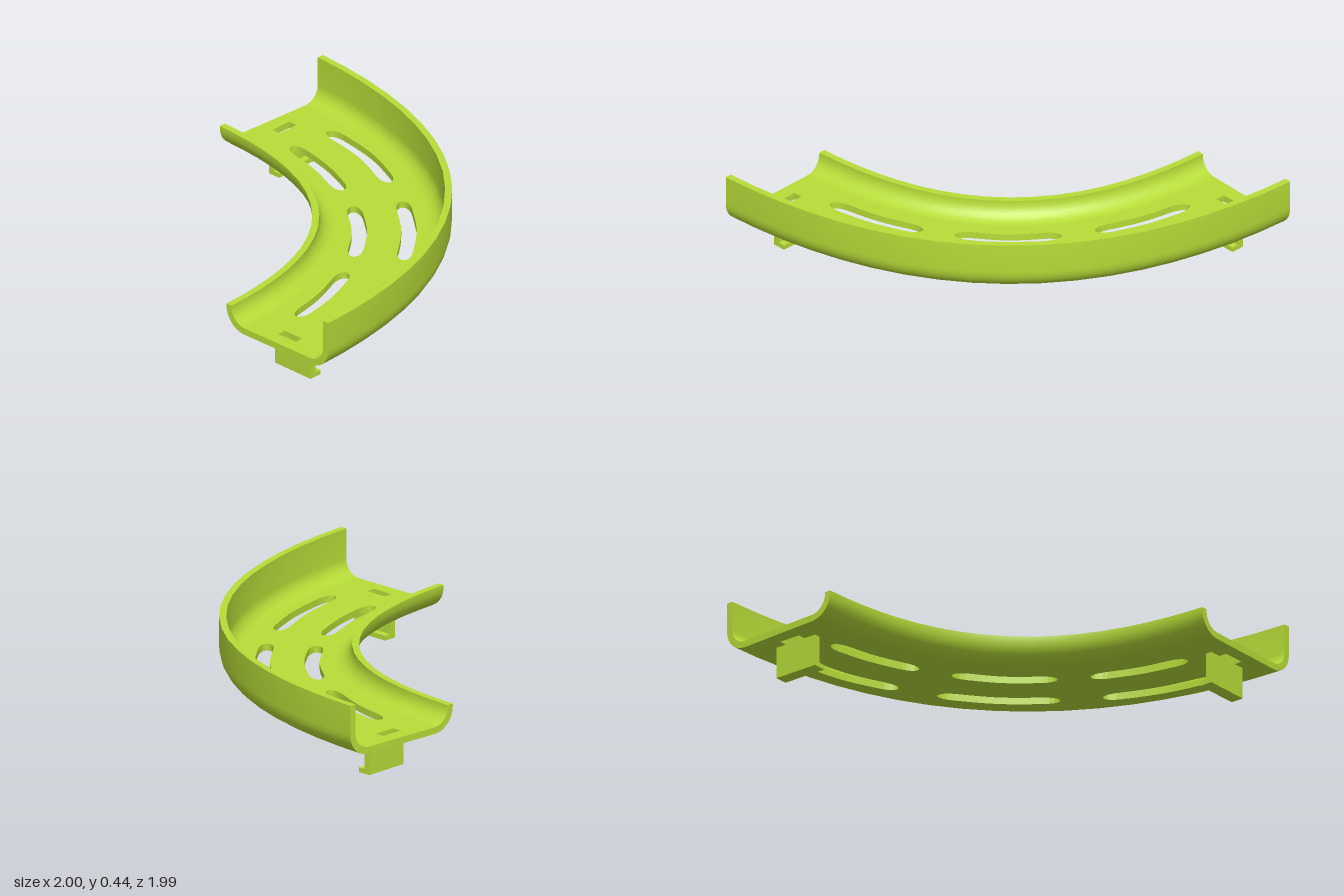
import * as THREE from 'three';
import { toCreasedNormals } from 'three/addons/utils/BufferGeometryUtils.js';

const SEGMENTS = 18;
const CX = -1.03, CZ = 1.03;        // centre of the bend
const R_IN = 1.34, R_OUT = 2.03;    // inner and outer wall radii at the ends
const BULGE = 0.072;                // extra radius at the middle of the bend
const FLOOR_BOTTOM = 0.165, FLOOR_TOP = 0.2;

// Point (x, z) on the bend at radius r, t from 0 (front end) to 1 (left end)
function bend(r, t) {
  const k = (r - R_IN) / (R_OUT - R_IN);
  const a0 = THREE.MathUtils.lerp(1.7, 1.4, k);
  const a1 = THREE.MathUtils.lerp(88.7, 88, k);
  const a = THREE.MathUtils.degToRad(THREE.MathUtils.lerp(a0, a1, t));
  const radius = r + BULGE * Math.sin(Math.PI * t) ** 2;
  return new THREE.Vector2(CX + radius * Math.cos(a), CZ - radius * Math.sin(a));
}

// Rounded side rail section: floor edge, bottom curve, wall, inside curve
function railProfile(centreR, side, top) {
  const pts = [new THREE.Vector2(centreR - side * 0.005, FLOOR_BOTTOM)];
  const cy = 0.285, n = 7;
  for (let i = 0; i <= n; i++) {
    const a = (i / n) * Math.PI / 2;
    pts.push(new THREE.Vector2(centreR + side * 0.12 * Math.sin(a), cy - 0.12 * Math.cos(a)));
  }
  pts.push(new THREE.Vector2(centreR + side * 0.12, top));
  pts.push(new THREE.Vector2(centreR + side * 0.085, top));
  for (let i = n; i >= 0; i--) {
    const a = (i / n) * Math.PI / 2;
    pts.push(new THREE.Vector2(centreR + side * 0.085 * Math.sin(a), cy - 0.085 * Math.cos(a)));
  }
  pts.push(new THREE.Vector2(centreR - side * 0.005, FLOOR_TOP));
  return THREE.ShapeUtils.isClockWise(pts) ? pts.reverse() : pts;
}

// Sweep a closed section around the bend, with end caps
function sweep(profile) {
  const n = profile.length, pos = [], index = [];
  for (let i = 0; i <= SEGMENTS; i++) {
    for (const p of profile) {
      const q = bend(p.x, i / SEGMENTS);
      pos.push(q.x, p.y, q.y);
    }
  }
  for (let i = 0; i < SEGMENTS; i++) {
    for (let j = 0; j < n; j++) {
      const k = (j + 1) % n;
      const a = i * n + j, b = (i + 1) * n + j, c = (i + 1) * n + k, d = i * n + k;
      index.push(a, b, c, a, c, d);
    }
  }
  const last = SEGMENTS * n;
  for (const [a, b, c] of THREE.ShapeUtils.triangulateShape(profile, [])) {
    index.push(a, b, c, last + a, last + c, last + b);
  }
  const geo = new THREE.BufferGeometry();
  geo.setAttribute('position', new THREE.Float32BufferAttribute(pos, 3));
  geo.setIndex(index);
  return toCreasedNormals(geo, 0.6);
}

// Curved slot with tapered round ends through start, middle and end (x, z)
function slotHole(points, halfWidth) {
  const curve = new THREE.CatmullRomCurve3(points.map(([x, z]) => new THREE.Vector3(x, z, 0)));
  const length = curve.getLength(), left = [], right = [], n = 20;
  for (let i = 0; i <= n; i++) {
    const u = (1 - Math.cos((i / n) * Math.PI)) / 2;
    const p = curve.getPointAt(u), t = curve.getTangentAt(u);
    const fromEnd = Math.min(1, Math.min(u, 1 - u) * length / 0.08);
    const w = halfWidth * Math.sqrt(1 - (1 - fromEnd) ** 2);
    left.push(new THREE.Vector2(p.x - t.y * w, p.y + t.x * w));
    if (i > 0 && i < n) right.unshift(new THREE.Vector2(p.x + t.y * w, p.y - t.x * w));
  }
  return new THREE.Path([...left, ...right]);
}

function rectHole(x0, x1, z0, z1) {
  return new THREE.Path([[x0, z0], [x1, z0], [x1, z1], [x0, z1]].map((p) => new THREE.Vector2(...p)));
}

export function createModel() {
  const group = new THREE.Group();
  group.name = 'curvedTray';
  const green = new THREE.MeshStandardMaterial({ color: 0xb7dd38 });
  green.name = 'lime green';
  const add = (name, geo) => {
    const mesh = new THREE.Mesh(geo, green);
    mesh.name = name;
    group.add(mesh);
    return mesh;
  };

  // Side rails: tall outside, low inside
  const rIn = R_IN + 0.12, rOut = R_OUT - 0.12;
  add('outerRail', sweep(railProfile(rOut, 1, 0.44)));
  add('innerRail', sweep(railProfile(rIn, -1, 0.295)));

  // Floor plate with slots and clip holes; counter-clockwise outline so the hole walls face inward
  const outline = [];
  for (let i = 0; i <= SEGMENTS; i++) outline.push(bend(rIn + 0.005, i / SEGMENTS));
  for (let i = SEGMENTS; i >= 0; i--) outline.push(bend(rOut - 0.005, i / SEGMENTS));
  const floor = new THREE.Shape(outline);
  const slots = [
    [[-0.7, -0.77], [-0.39, -0.715], [-0.11, -0.6]],
    [[0.07, -0.5], [0.307, -0.304], [0.5, -0.065]],
    [[0.61, 0.115], [0.72, 0.397], [0.78, 0.7]],
    [[-0.72, -0.53], [-0.465, -0.475], [-0.22, -0.38]],
    [[-0.07, -0.295], [0.135, -0.13], [0.3, 0.08]],
    [[0.385, 0.22], [0.478, 0.467], [0.53, 0.72]],
  ];
  for (const s of slots) floor.holes.push(slotHole(s, 0.038));
  floor.holes.push(rectHole(-0.906, -0.856, -0.705, -0.585));
  floor.holes.push(rectHole(0.59, 0.71, 0.866, 0.914));
  const floorGeo = new THREE.ExtrudeGeometry(floor, { depth: FLOOR_TOP - FLOOR_BOTTOM, bevelEnabled: false });
  floorGeo.rotateX(Math.PI / 2).translate(0, FLOOR_TOP, 0);
  add('floor', floorGeo);

  // L-shaped clips under each end, hooks pointing towards the bend
  const clipShape = new THREE.Shape([
    [0, 0], [0.07, 0], [0.07, 0.025], [0.033, 0.025], [0.033, 0.17], [0, 0.17],
  ].map((p) => new THREE.Vector2(...p)));
  const clipGeo = new THREE.ExtrudeGeometry(clipShape, { depth: 0.245, bevelEnabled: false });
  clipGeo.translate(0, 0, -0.1225);
  add('leftClip', clipGeo).position.set(-0.863, 0, -0.64);
  const frontClip = add('frontClip', clipGeo);
  frontClip.rotation.y = Math.PI / 2;
  frontClip.position.set(0.65, 0, 0.871);

  return group;
}
